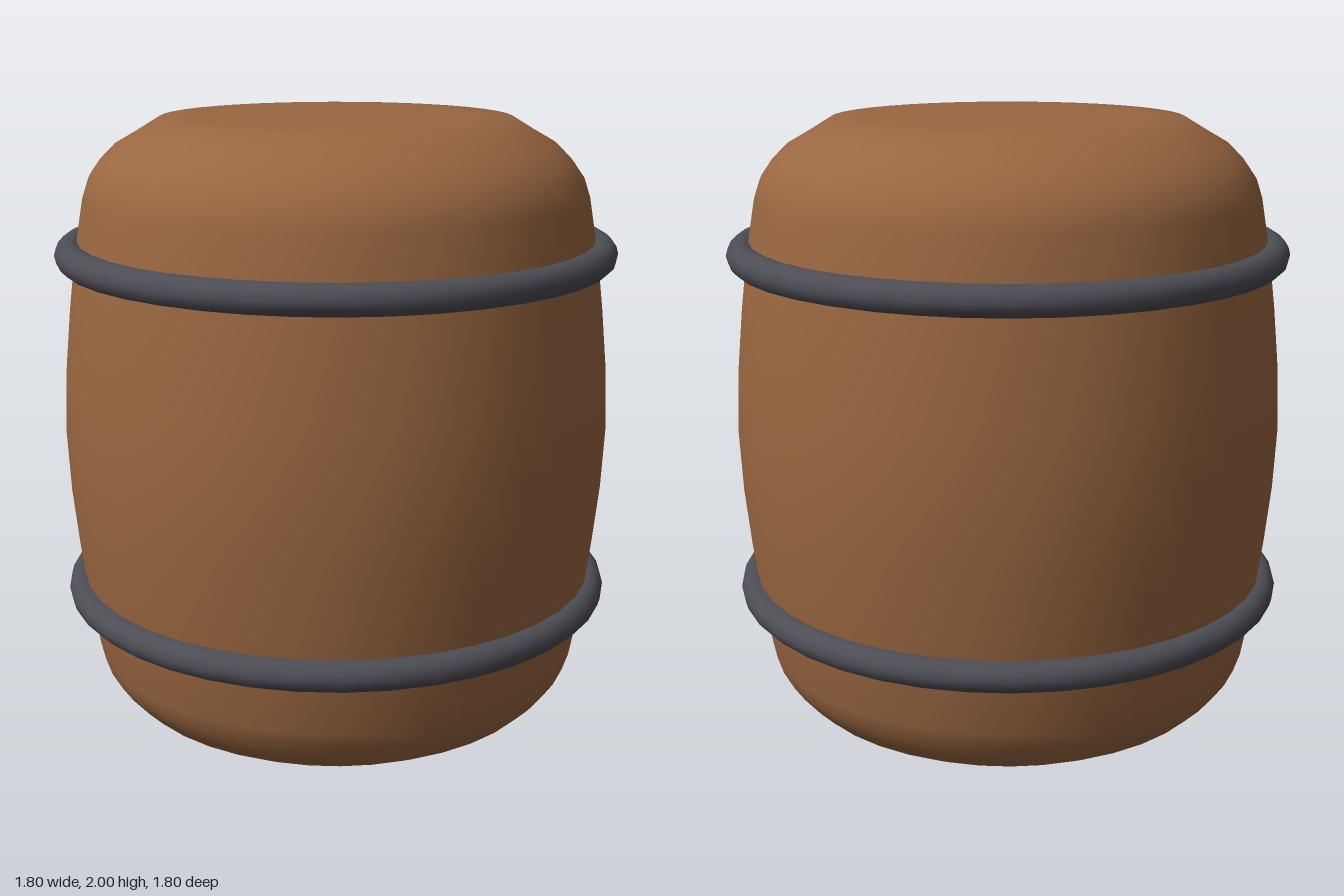
import * as THREE from 'three';

const wood = new THREE.MeshStandardMaterial({ color: 0x996640 });
const iron = new THREE.MeshStandardMaterial({ color: 0x4d4d55 });

// Lower half of the bulging barrel outline as [radius, height]
const halfProfile = [
  [0, 0], [0.3, 0.005], [0.45, 0.012], [0.56, 0.025], [0.63, 0.05], [0.7, 0.09], [0.75, 0.14],
  [0.785, 0.19], [0.805, 0.25], [0.835, 0.42], [0.858, 0.6], [0.878, 0.8],
];

function createBody() {
  const lower = halfProfile.map(([r, y]) => new THREE.Vector2(r, y));
  const upper = halfProfile.map(([r, y]) => new THREE.Vector2(r, 2 - y)).reverse();
  // The lid is flatter than the base
  for (const p of upper) if (p.y > 1.97) p.y = 2 - (2 - p.y) * 0.3;
  upper[upper.length - 1].y = 2;
  const points = [...lower, new THREE.Vector2(0.887, 1), ...upper];
  const body = new THREE.Mesh(new THREE.LatheGeometry(points, 40), wood);
  body.name = 'barrelBody';
  return body;
}

function createHoop(name, y) {
  const hoop = new THREE.Mesh(new THREE.TorusGeometry(0.852, 0.048, 12, 40), iron);
  hoop.name = name;
  hoop.rotation.x = Math.PI / 2;
  hoop.position.y = y;
  return hoop;
}

export function createModel() {
  const barrel = new THREE.Group();
  barrel.name = 'barrel';
  barrel.add(createBody(), createHoop('lowerHoop', 0.46), createHoop('upperHoop', 1.573));
  return barrel;
}
